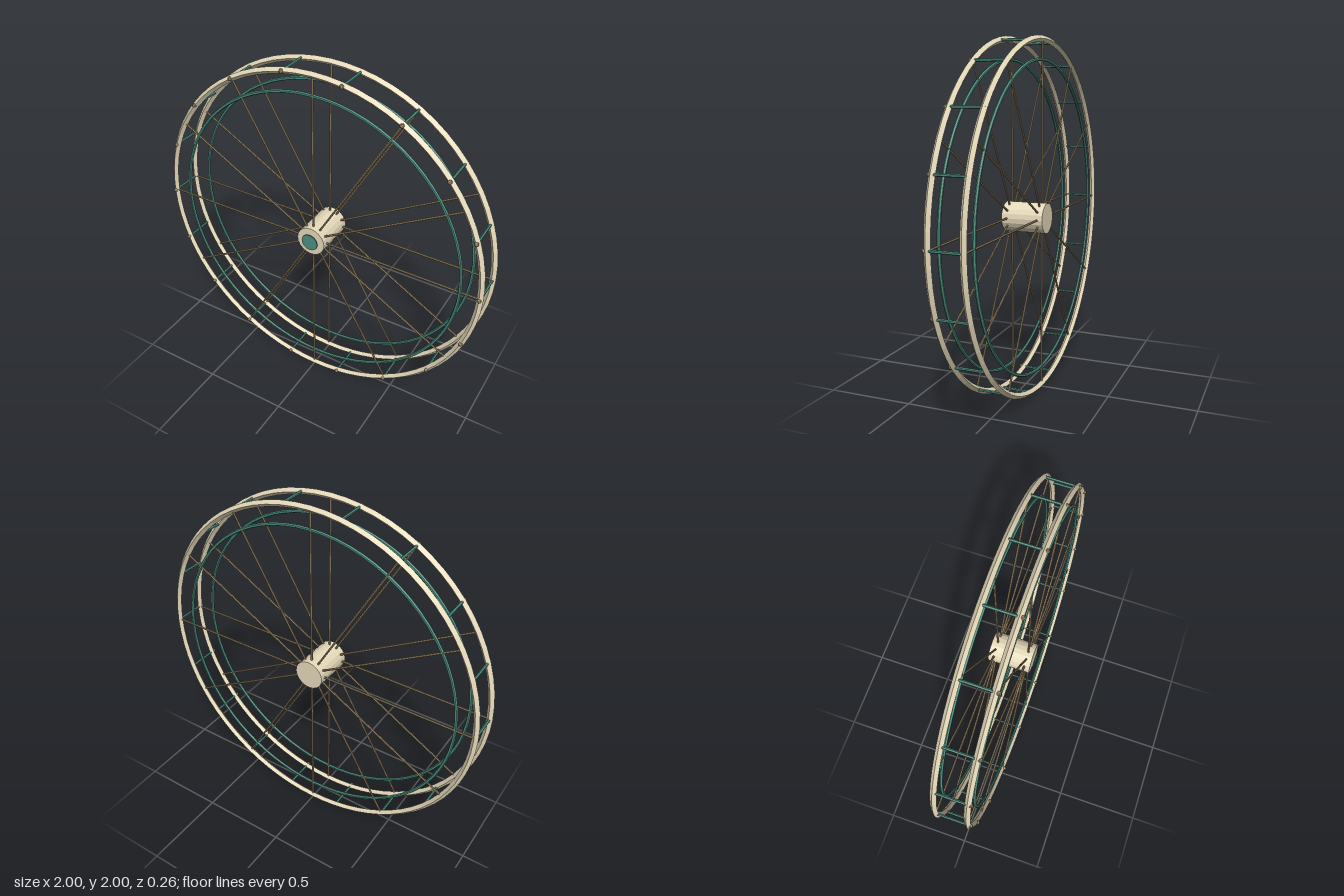
import * as THREE from 'three';

const cream = new THREE.MeshStandardMaterial({ color: 0xe6d9ba, flatShading: true });
cream.name = 'cream';
const brown = new THREE.MeshStandardMaterial({ color: 0xa48c68, flatShading: true });
brown.name = 'brown';
const green = new THREE.MeshStandardMaterial({ color: 0x4b8e7f, flatShading: true });
green.name = 'green';

export function createModel() {
  const wheel = new THREE.Group();
  wheel.name = 'wheel';
  // hub is offset slightly so that the front cap is included in the centring
  wheel.position.set(0, 1, -0.007);

  const add = (name, geometry, material, x = 0, y = 0, z = 0) => {
    const mesh = new THREE.Mesh(geometry, material);
    mesh.name = name;
    mesh.position.set(x, y, z);
    wheel.add(mesh);
    return mesh;
  };
  // cylinder lying along z
  const axial = (radius, length, sides) =>
    new THREE.CylinderGeometry(radius, radius, length, sides).rotateX(Math.PI / 2);

  // hub and its thin front cap, standing just clear of the hub
  add('hub', axial(0.086, 0.243, 20), cream);
  add('hubCap', axial(0.05, 0.005, 20), green, 0, 0, 0.1325);

  // two diamond-section rims, each with an inner hoop and twelve spokes
  const rim = new THREE.TorusGeometry(0.982, 0.018, 4, 72);
  const hoop = new THREE.TorusGeometry(0.873, 0.0095, 6, 72);
  const spoke = new THREE.CylinderGeometry(0.006, 0.006, 0.91, 6).translate(0, 0.515, 0);
  for (const z of [0.09, -0.09]) {
    add('rim', rim, cream, 0, 0, z);
    add('innerHoop', hoop, green, 0, 0, z);
    for (let i = 0; i < 12; i++) {
      add('spoke', spoke, brown, 0, 0, z).rotation.z = (i * Math.PI) / 6;
    }
  }

  // cross rungs joining the rims, with a stud on each front end
  const rung = axial(0.008, 0.2, 6);
  const stud = new THREE.SphereGeometry(0.012, 8, 6);
  for (let i = 0; i < 18; i++) {
    const a = (i * Math.PI) / 9;
    const x = 0.983 * Math.cos(a), y = 0.983 * Math.sin(a);
    add('rung', rung, green, x, y, 0);
    add('stud', stud, brown, x, y, 0.105);
  }

  const model = new THREE.Group();
  model.name = 'spokedWheel';
  model.add(wheel);
  return model;
}
